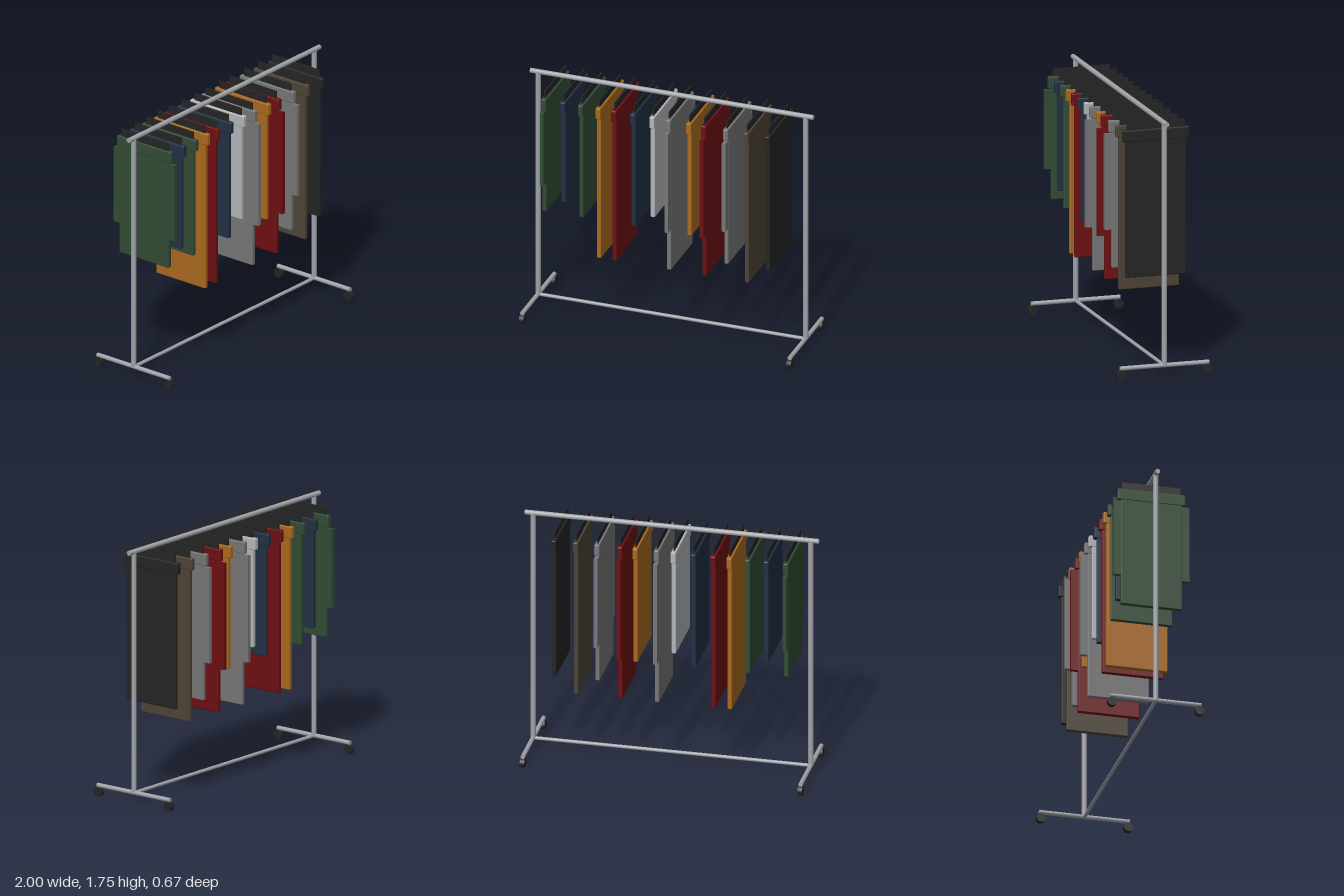
import * as THREE from 'three';
import { RoundedBoxGeometry } from 'three/addons/geometries/RoundedBoxGeometry.js';

const mat = (name, color) => new THREE.MeshStandardMaterial({ name, color });

export function createModel() {
  const root = new THREE.Group();
  root.name = 'clothesRack';

  const metal = mat('brushed metal', 0xa0a3a8);
  const black = mat('black', 0x252525);
  const green = mat('forest green', 0x324c36);
  const navy = mat('navy', 0x223044);
  const ochre = mat('ochre', 0xaa6a1e);
  const red = mat('dark red', 0x6e0f12);
  const grey = mat('mid grey', 0x777777);
  const silver = mat('light grey', 0xb4b7bb);
  const brown = mat('brown', 0x4e4436);

  const add = (parent, name, geometry, material, x, y, z) => {
    const mesh = new THREE.Mesh(geometry, material);
    mesh.name = name;
    mesh.position.set(x, y, z);
    parent.add(mesh);
    return mesh;
  };
  const tube = (r, length, sides = 16) => new THREE.CylinderGeometry(r, r, length, sides);

  // Frame: hanging rail and lower brace
  add(root, 'hangingRail', tube(0.017, 2), metal, 0, 1.73, 0).rotation.z = Math.PI / 2;
  add(root, 'lowerBrace', tube(0.012, 1.89), metal, 0, 0.075, 0).rotation.z = Math.PI / 2;

  // Posts, feet and casters on both ends
  for (const side of [-1, 1]) {
    const x = side * 0.945;
    add(root, 'post', tube(0.018, 1.655), metal, x, 0.9025, 0);
    add(root, 'foot', tube(0.015, 0.62), metal, x, 0.077, 0).rotation.x = Math.PI / 2;
    for (const end of [-1, 1]) {
      const wheel = add(root, 'caster', tube(0.033, 0.032, 10), black, x, 0.033, end * 0.3);
      wheel.rotation.z = Math.PI / 2;
    }
  }

  // Garments: x position, hem height, colour, has sleeves
  const garments = [
    [-0.825, 0.81, green, true],
    [-0.69, 0.9, navy, false],
    [-0.565, 0.81, green, false],
    [-0.44, 0.53, ochre, false],
    [-0.33, 0.53, red, false],
    [-0.195, 0.81, navy, false],
    [-0.06, 0.9, silver, false],
    [0.055, 0.53, grey, true],
    [0.2, 0.81, ochre, false],
    [0.305, 0.53, red, true],
    [0.46, 0.645, grey, true],
    [0.605, 0.53, brown, false],
    [0.755, 0.645, black, false],
  ];
  const shoulderGeometry = new RoundedBoxGeometry(0.036, 0.082, 0.462, 2, 0.008);
  const hangerGeometry = new THREE.BoxGeometry(0.01, 0.08, 0.4);

  for (const [x, hem, colour, sleeved] of garments) {
    const garment = new THREE.Group();
    garment.name = 'garment';
    garment.position.x = x;
    root.add(garment);

    const length = 1.6 - hem;
    add(garment, 'body', new RoundedBoxGeometry(0.03, length, 0.42, 2, 0.007), colour, 0, hem + length / 2, 0);
    add(garment, 'shoulders', shoulderGeometry, colour, 0, 1.611, 0);
    add(garment, 'hanger', hangerGeometry, black, 0, 1.662, 0);

    if (sleeved) {
      const sleeve = length * 0.685;
      for (const end of [-1, 1]) {
        add(garment, 'sleeve', new THREE.BoxGeometry(0.027, sleeve, 0.06), colour, 0, 1.563 - sleeve / 2, end * 0.23);
      }
    }
  }
  return root;
}
